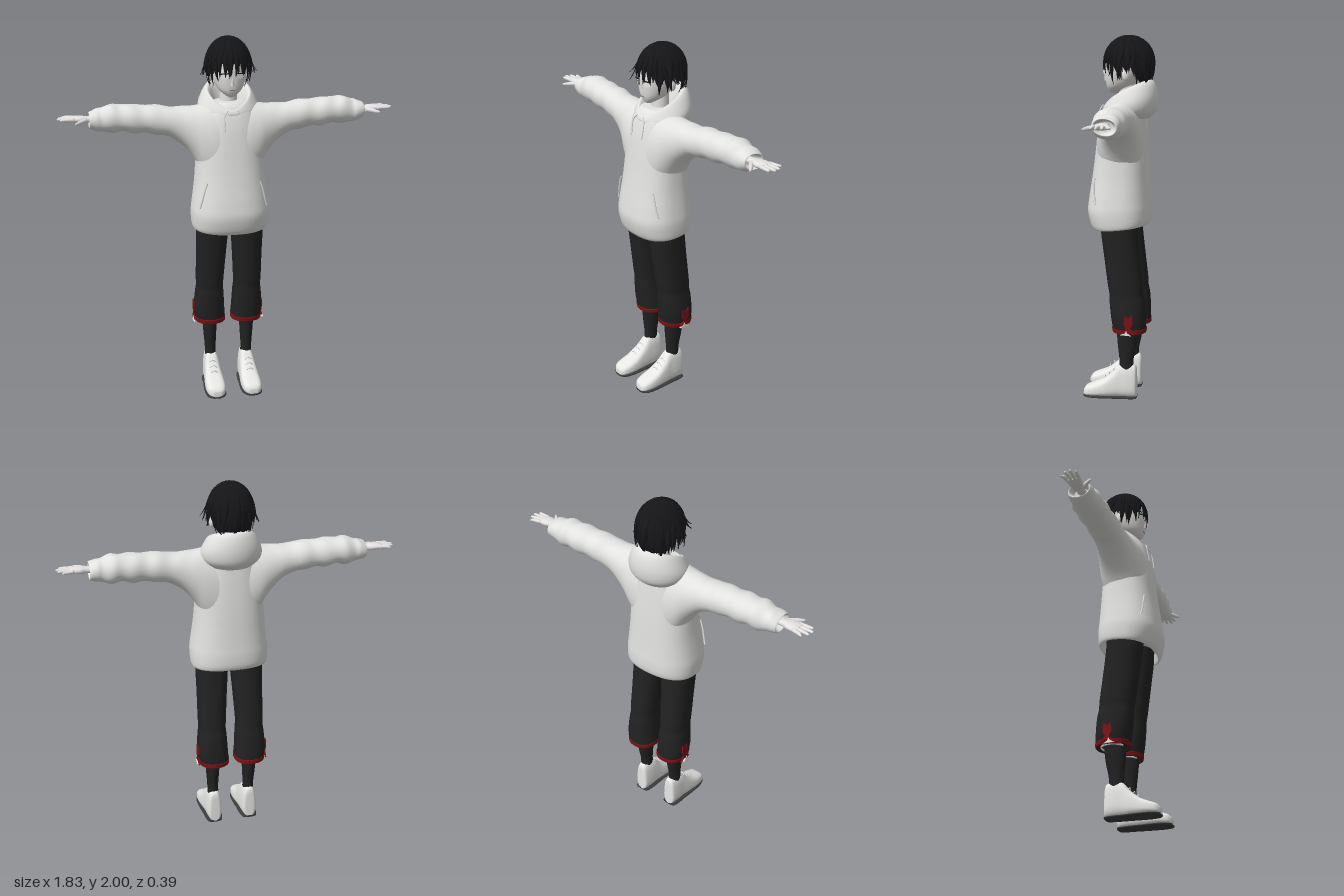
import * as THREE from 'three';
import { mergeGeometries } from 'three/addons/utils/BufferGeometryUtils.js';

const mat = (name, color) => new THREE.MeshStandardMaterial({ name, color, side: THREE.DoubleSide });

// Grid surface, closed around v, wound so that it faces outwards
function surface(fn, nu, nv) {
  const pos = [], idx = [];
  for (let i = 0; i <= nu; i++) for (let j = 0; j < nv; j++) pos.push(...fn(i / nu, j / nv));
  for (let i = 0; i < nu; i++) for (let j = 0; j < nv; j++) {
    const k = (j + 1) % nv, a = i * nv + j, b = i * nv + k, c = a + nv, d = b + nv;
    idx.push(a, b, c, b, d, c);
  }
  const g = new THREE.BufferGeometry();
  g.setAttribute('position', new THREE.Float32BufferAttribute(pos, 3));
  g.computeBoundingBox();
  const mid = g.boundingBox.getCenter(new THREE.Vector3());
  const p = idx.map(i => new THREE.Vector3().fromArray(pos, i * 3).sub(mid));
  let volume = 0;
  for (let i = 0; i < p.length; i += 3) volume += p[i].dot(p[i + 1].clone().cross(p[i + 2]));
  g.setIndex(volume < 0 ? idx.reverse() : idx);
  g.computeVertexNormals();
  return g;
}

// Smooth interpolation through a short table of rows
function sample(rows, u) {
  const f = u * (rows.length - 1), i = Math.min(Math.floor(f), rows.length - 2), t = f - i;
  const at = k => rows[Math.max(0, Math.min(rows.length - 1, k))];
  return rows[0].map((_, c) => {
    const [a, b, d, e] = [at(i - 1)[c], at(i)[c], at(i + 1)[c], at(i + 2)[c]];
    return b + 0.5 * t * (d - a + t * (2 * a - 5 * b + 4 * d - e + t * (3 * (b - d) + e - a)));
  });
}

// Capped loft of rounded sections; row = [t, aMin, aMax, bMin, bMax]
function loft(rows, place, p = 2, steps = 40, sides = 32) {
  const pow = v => Math.sign(v) * Math.abs(v) ** (2 / p);
  return surface((u, v) => {
    const i = Math.round(u * (steps + 2)) - 1;
    const cap = i < 0 || i > steps ? 0 : 1;
    const [t, a0, a1, b0, b1] = sample(rows, Math.max(0, Math.min(1, i / steps)));
    const w = v * Math.PI * 2;
    return place(t, (a0 + a1) / 2 + cap * pow(Math.cos(w)) * (a1 - a0) / 2,
      (b0 + b1) / 2 + cap * pow(Math.sin(w)) * (b1 - b0) / 2);
  }, steps + 2, sides);
}

const tube = (pts, r) => new THREE.TubeGeometry(
  new THREE.CatmullRomCurve3(pts.map(q => new THREE.Vector3(...q))), 12, r, 6);

export function createModel() {
  const root = new THREE.Group();
  const cloth = mat('hoodie white', 0xe2e2e0), skin = mat('skin', 0xe4e2e0), shoeWhite = mat('shoe white', 0xe8e8e6);
  const hairBlack = mat('hair black', 0x17171a), trouser = mat('trouser black', 0x222223);
  const red = mat('trim red', 0x7d1216), soleGrey = mat('sole grey', 0x3c3c3c), eyeWhite = mat('eye white', 0xffffff);
  const add = (name, geo, m, parent = root) => {
    const mesh = new THREE.Mesh(geo, m);
    mesh.name = name;
    parent.add(mesh);
    return mesh;
  };
  const up = (t, a, b) => [a, t, b];
  const sym = rows => rows.map(([y, x, zb, zf]) => [y, -x, x, zb, zf]);

  // Hoodie body, hem folded inwards and dipping at the front
  const dip = (t, a, b) => [a, t - .11 * b * Math.max(0, Math.min(1, (1.15 - t) / .18)), b];
  add('hoodieBody', loft(sym([[1.02, .18, -.13, .13], [.97, .195, -.148, .142], [.97, .206, -.157, .152],
    [1.0, .212, -.165, .168], [1.06, .214, -.166, .182], [1.12, .207, -.162, .176], [1.22, .194, -.156, .16],
    [1.32, .186, -.15, .146], [1.42, .18, -.142, .134], [1.52, .165, -.132, .12], [1.6, .14, -.12, .1],
    [1.64, .11, -.1, .08], [1.66, .08, -.08, .06]]), dip, 2.4, 60, 48), cloth);

  // Hood lying around the neck: outlines from inside to outside as [rx, zFront, zBack, yFront, yBack, bend]
  const hood = [[.07, .03, -.09, 1.56, 1.6, 1], [.085, .05, -.11, 1.6, 1.69, .7], [.11, .078, -.14, 1.625, 1.762, .65],
    [.135, .092, -.178, 1.622, 1.748, .75], [.162, .1, -.197, 1.61, 1.675, 1], [.16, .1, -.188, 1.595, 1.6, 1],
    [.13, .085, -.15, 1.575, 1.555, 1]];
  add('hood', surface((u, v) => {
    const [rx, zf, zb, yf, yb, bend] = sample(hood, u);
    const w = v * Math.PI * 2, k = (1 - Math.cos(w)) / 2;
    return [rx * Math.sin(w), yf + (yb - yf) * k ** bend, zf + (zb - zf) * k];
  }, 24, 48), cloth);

  // Head, nose, mouth, neck
  add('head', loft(sym([[1.688, .012, .03, .058], [1.7, .032, .0, .07], [1.73, .065, -.06, .083], [1.78, .088, -.11, .09],
    [1.84, .1, -.135, .093], [1.9, .098, -.135, .085], [1.955, .058, -.09, .04]]), up, 2.2), skin);
  add('neck', new THREE.CylinderGeometry(.045, .05, .16, 20).translate(0, 1.66, -.03), skin);
  const nose = add('nose', new THREE.ConeGeometry(.012, .045, 8), skin);
  nose.position.set(0, 1.778, .089);
  nose.rotation.x = .25;
  add('mouth', new THREE.BoxGeometry(.024, .002, .006).translate(0, 1.728, .081), soleGrey);

  // Hair: a cap plus tapering locks that follow the skull
  const hairPoint = (az, phi, r) => {
    const s = Math.sin(phi), h = phi < Math.PI / 2 ? s : 1 - .5 * (1 - s);
    return [.118 * r * h * Math.sin(az), 1.857 + .139 * Math.cos(phi) * Math.min(r, 1.03), -.04 + .137 * r * h * Math.cos(az)];
  };
  const deg = Math.PI / 180;
  const capEnd = a => (a < 60 ? 84 : a < 100 ? 84 + (a - 60) * .35 : Math.min(140, 98 + (a - 100) * 1.6));
  add('hairCap', surface((u, v) => {
    const a = v * 360, end = capEnd(a > 180 ? 360 - a : a);
    return hairPoint(a * deg, u * end * deg, 1);
  }, 20, 48), hairBlack);
  let seed = 7;
  const rnd = () => (seed = (seed * 16807) % 2147483647) / 2147483647;
  const locks = [];
  const addLock = (az, start, end, wide, twist, flick) => locks.push(surface((u, v) => {
    const q = Math.round(v * 4), w = wide * Math.min(1, 2.4 * (1 - u)) + .002;
    const side = [0, 1, 0, -1][q] * w, lift = [.04, 0, -.05, 0][q] * (1 - u * .7);
    return hairPoint((az * deg) + side + twist * u * u, (start + u * (end - start)) * deg, 1 + lift + flick * u ** 4);
  }, 10, 4));
  for (let i = 0; i < 54; i++) {
    const az = (i + rnd() * .5) * 360 / 54, a = az > 180 ? 360 - az : az;
    const end = a < 50 ? 103 + rnd() * 16 : a < 76 ? 122 + rnd() * 28 : a < 104 ? 106 + rnd() * 10 : 132 + rnd() * 18;
    addLock(az, 6, end, .13 + rnd() * .07, (rnd() - .5) * .5, (a > 60 && a < 150 ? .25 : .08) * rnd());
  }
  // Short tips that flick outwards at the sides
  for (let i = 0; i < 22; i++) {
    const az = (i % 2 ? 1 : -1) * (48 + i * 4 + rnd() * 4);
    addLock(az, 45, 96 + rnd() * 26, .09 + rnd() * .05, (rnd() - .5) * .7, Math.abs(az) < 115 ? .15 + rnd() * .22 : .1 * rnd());
  }
  add('hairLocks', mergeGeometries(locks), hairBlack);

  for (const s of [1, -1]) {
    const side = new THREE.Group();
    side.name = s > 0 ? 'leftSide' : 'rightSide';
    root.add(side);
    const put = (name, geo, m) => add(name, geo, m, side);
    const across = (x, y, z) => [s * x, y, z];
    const upright = (y, x, z) => [s * x, y, z];

    // Eye, lash and ear
    const eye = put('eye', new THREE.CircleGeometry(.022, 20).scale(1, .6, 1), eyeWhite);
    eye.position.set(s * .043, 1.804, .09);
    eye.rotation.y = s * .4;
    const lash = put('lash', new THREE.BoxGeometry(.046, .005, .006), hairBlack);
    lash.position.set(s * .044, 1.819, .089);
    lash.rotation.set(0, s * .4, -s * .1);
    put('ear', new THREE.SphereGeometry(.03, 14, 10).scale(.4, 1, .65).translate(s * .1, 1.79, -.035), skin);

    // Sleeve flowing out of the body, cuff folded inwards
    put('sleeve', loft([[.05, 1.15, 1.645, -.13, .125], [.1, 1.2, 1.645, -.132, .122], [.15, 1.27, 1.642, -.13, .11],
      [.2, 1.36, 1.637, -.122, .09], [.26, 1.43, 1.634, -.113, .073], [.33, 1.475, 1.635, -.108, .064],
      [.4, 1.488, 1.648, -.115, .06], [.46, 1.5, 1.645, -.11, .052], [.52, 1.498, 1.654, -.12, .054],
      [.58, 1.512, 1.65, -.117, .046], [.63, 1.505, 1.658, -.122, .046], [.68, 1.512, 1.638, -.106, .036],
      [.71, 1.52, 1.636, -.106, .038], [.745, 1.532, 1.622, -.096, .03], [.745, 1.54, 1.614, -.086, .02],
      [.71, 1.55, 1.604, -.07, .01]],
    (t, a, b) => [s * t, a + .004 * Math.sin(t * 60 + b * 30) * Math.min(1, t), b], 2.1, 64, 40), cloth);

    // Hand
    put('palm', loft([[.7, 1.566, 1.596, -.05, -.005], [.76, 1.566, 1.598, -.054, -.002], [.79, 1.566, 1.602, -.066, .008],
      [.83, 1.572, 1.6, -.07, .008], [.846, 1.578, 1.596, -.066, .004]], across, 2.4, 16, 20), skin);
    [[-.062, -.08, .888], [-.041, -.049, .91], [-.02, -.02, .916], [.0, .006, .9]].forEach(([z0, z1, x], i) =>
      put('finger' + (i + 1), loft([[.825, 1.576, 1.598, z0 - .011, z0 + .011], [.87, 1.578, 1.597, (z0 + z1) / 2 - .01, (z0 + z1) / 2 + .01],
        [x - .006, 1.581, 1.594, z1 - .007, z1 + .007], [x, 1.585, 1.59, z1 - .002, z1 + .002]], across, 2, 12, 10), skin));
    put('thumb', loft([[.76, 1.568, 1.594, -.025, .012], [.785, 1.566, 1.592, .002, .034], [.81, 1.566, 1.586, .03, .054],
      [.825, 1.57, 1.58, .052, .062]], across, 2, 12, 12), skin);

    // Drawstring and pocket edge
    put('drawstring', tube([across(.026, 1.625, .1), across(.046, 1.6, .112), across(.048, 1.56, .119), across(.045, 1.51, .127)], .0035), cloth);
    put('pocketEdge', tube([across(.145, 1.24, .127), across(.158, 1.2, .127), across(.17, 1.15, .124), across(.184, 1.1, .118)], .005), cloth);

    // Cropped trouser leg, red hem, pale lining
    put('trouserLeg', loft([[.43, .035, .17, -.13, .01], [.388, .026, .18, -.143, .024], [.388, .02, .186, -.15, .03],
      [.42, .02, .191, -.151, .035], [.47, .023, .195, -.15, .042], [.55, .028, .188, -.145, .05], [.6, .032, .182, -.136, .052],
      [.65, .03, .184, -.133, .06], [.8, .02, .184, -.116, .08], [.96, .008, .186, -.1, .1], [1.05, .004, .18, -.1, .1]],
    upright, 2.3, 48, 32), trouser);
    put('hemBand', loft([[.4, .03, .176, -.14, .02], [.386, .022, .184, -.147, .028], [.386, .017, .189, -.153, .033],
      [.395, .017, .19, -.154, .035], [.409, .017, .192, -.154, .037], [.409, .022, .186, -.149, .03]],
    upright, 2.3, 20, 32), red);
    const lining = put('hemLining', new THREE.TorusGeometry(.064, .005, 6, 28).rotateX(Math.PI / 2), eyeWhite);
    lining.position.set(s * .104, .388, -.06);

    // Ragged red tie with a pale tip on the outer side of the hem
    const plate = pts => new THREE.ExtrudeGeometry(new THREE.Shape(pts.map(q => new THREE.Vector2(...q))),
      { depth: .008, bevelEnabled: false });
    const tie = put('hemTie', plate([[-.04, -.005], [-.012, .02], [-.026, .045], [-.02, .095], [0, .08], [.02, .1],
      [.024, .05], [.01, .024], [.035, -.012], [.006, .004], [-.012, -.012]]), red);
    const tip = put('hemTieTip', plate([[-.028, -.014], [.03, -.018], [.012, -.006], [.004, .012], [-.004, -.004]]), eyeWhite);
    for (const part of [tie, tip]) part.rotation.y = Math.PI / 2;
    tie.position.set(s * .194 - .004, .4, -.065);
    tip.position.set(s * .197 - .004, .4, -.05);

    // Sock
    put('sock', loft([[.15, .072, .136, -.085, .0], [.22, .074, .136, -.082, -.002], [.3, .07, .142, -.098, .006],
      [.38, .066, .147, -.108, .012], [.45, .066, .147, -.11, .012]], upright, 2, 16, 24), trouser);

    // Shoe, laces and sole
    const last = [[-.1, .08, .125, .006, .15], [-.092, .064, .142, .006, .188], [-.05, .055, .15, .006, .197],
      [-.005, .052, .152, .006, .19], [.035, .05, .156, .006, .145], [.09, .046, .16, .006, .1], [.14, .047, .16, .006, .077],
      [.18, .058, .15, .006, .06], [.197, .08, .128, .008, .04]];
    put('shoe', loft(last, (z, x, y) => [s * (.104 + (x - .104) * (1.04 - y * 1.4)), y, z], 3, 36, 32), shoeWhite);
    put('sole', loft(last.map(([z, a, b]) => [z, a - .002, b + .002, 0, .012]), (z, x, y) => [s * x, y, z], 4, 30, 24), soleGrey);
    for (let i = 0; i < 3; i++) {
      const z = .028 + i * .025, y = .157 - i * .021;
      put('lace' + (i + 1), tube([across(.082, y - .012, z), across(.104, y + .003, z + .004), across(.126, y - .012, z)], .003), shoeWhite);
    }
  }
  return root;
}
